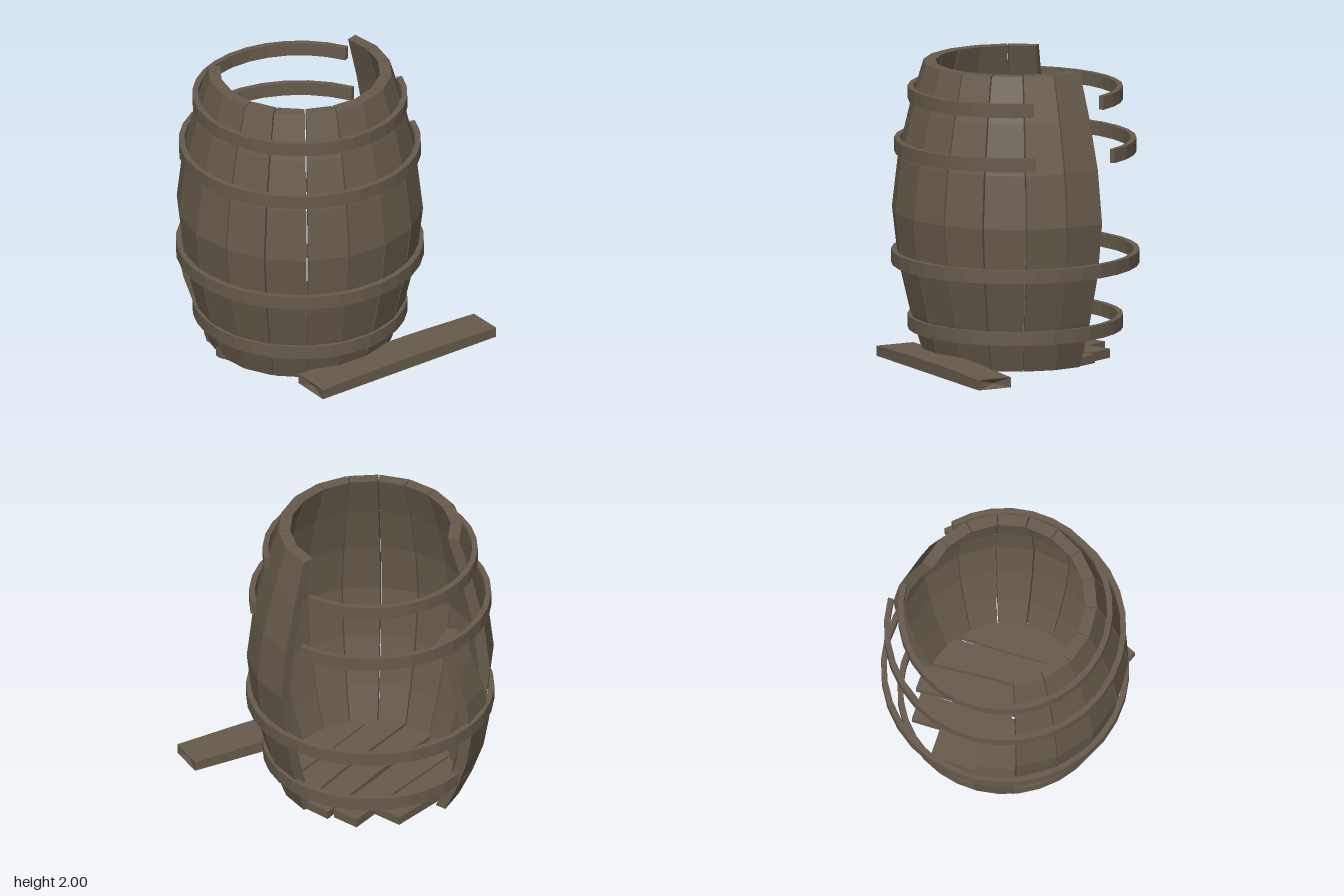
import * as THREE from 'three';

const CX = -0.185; // barrel axis
const RAD = Math.PI / 180;

const centre = pts => [0, 1, 2].map(k => pts.reduce((sum, p) => sum + p[k], 0) / pts.length);

// Faceted solid through matching convex cross-sections; ends are capped unless
// closed, and dent pushes the middle of each cap inwards
function loft(sections, { closed = false, dent = 0 } = {}) {
  const pos = [];
  const tri = (a, b, c) => pos.push(...a, ...b, ...c);
  const count = sections.length, n = sections[0].length;
  for (let s = 0; s < (closed ? count : count - 1); s++) {
    const A = sections[s], B = sections[(s + 1) % count];
    for (let j = 0; j < n; j++) {
      const k = (j + 1) % n;
      tri(A[j], A[k], B[k]);
      tri(A[j], B[k], B[j]);
    }
  }
  const cap = (ring, next, flip) => {
    const inner = centre(next);
    const mid = centre(ring).map((v, k) => v + (inner[k] - v) * dent);
    for (let j = 0; j < n; j++) {
      const p = ring[j], q = ring[(j + 1) % n];
      if (flip) tri(mid, q, p);
      else tri(mid, p, q);
    }
  };
  if (!closed) {
    cap(sections[0], sections[1], true);
    cap(sections[count - 1], sections[count - 2], false);
  }
  const g = new THREE.BufferGeometry();
  g.setAttribute('position', new THREE.Float32BufferAttribute(pos, 3));
  g.computeVertexNormals();
  return g;
}

// Point on the barrel, angle in degrees from +x towards +z
const polar = (r, deg, y) => [CX + r * Math.cos(deg * RAD), y, r * Math.sin(deg * RAD)];

// Stave between two angles; profile is a list of [outer radius, height]
function stave(a0, a1, profile) {
  const thick = 0.078;
  return loft(profile.map(([r, y]) => [
    polar(r, a1, y), polar(r, a0, y), polar(r - thick, a0, y), polar(r - thick, a1, y),
  ]));
}

// Rectangular band from angle a0 to a1
function hoop(r, y0, y1, a0, a1) {
  const closed = a1 - a0 === 360, steps = Math.round((a1 - a0) / 11.25), t = 0.037;
  const sections = [];
  for (let i = 0; i < (closed ? steps : steps + 1); i++) {
    const a = a0 + (a1 - a0) * i / steps;
    sections.push([polar(r - t, a, y0), polar(r, a, y0), polar(r, a, y1), polar(r - t, a, y1)]);
  }
  return loft(sections, { closed });
}

// Flat board from an outline [x, z], counterclockwise seen from above
const board = (outline, y0, y1) => loft([y0, y1].map(y => outline.map(([x, z]) => [x, y, z])));

export function createModel() {
  const group = new THREE.Group();
  const wood = new THREE.MeshStandardMaterial({ color: 0x665a4b });
  wood.name = 'weathered wood';
  const add = (name, geometry) => {
    const mesh = new THREE.Mesh(geometry, wood);
    mesh.name = name;
    group.add(mesh);
  };

  // Standing staves, leaving the back right side open
  const profile = [[0.603, 0.04], [0.693, 0.34], [0.77, 0.67], [0.81, 1.02], [0.77, 1.37], [0.693, 1.7], [0.603, 2]];
  for (let i = -4; i < 8; i++) add('stave', stave(i * 20 + 0.4, i * 20 + 19.6, profile));

  // Shorter stave beside the opening, bulging lower down and leaning in at the top
  add('shortStave', stave(160.4, 180, profile.map(([r, y]) => [r, (y - 0.04) * 0.66])));

  // Hoops: the upper two are broken open, the lower two are whole
  add('topHoop', hoop(0.704, 1.745, 1.835, -45, 270));
  add('upperHoop', hoop(0.793, 1.4, 1.49, -45, 270));
  add('middleHoop', hoop(0.813, 0.66, 0.75, 0, 360));
  add('bottomHoop', hoop(0.705, 0.23, 0.32, 0, 360));

  // Floor boards, some poking out under the staves
  const floor = [
    [[-0.68, -0.37], [-0.73, 0.02], [-0.75, 0.27], [-0.68, 0.37], [-0.54, 0.4], [-0.485, -0.36]],
    [[-0.47, -0.555], [-0.49, -0.1], [-0.54, 0.515], [-0.5, 0.535], [-0.335, 0.54], [-0.3, 0.1], [-0.28, -0.545]],
    [[-0.26, -0.585], [-0.265, 0.1], [-0.3, 0.54], [-0.1, 0.54], [-0.075, -0.1], [-0.08, -0.57]],
    [[-0.065, -0.54], [-0.06, -0.1], [-0.085, 0.53], [0.12, 0.45], [0.13, -0.1], [0.14, -0.43]],
    [[0.165, -0.4], [0.14, 0], [0.135, 0.38], [0.18, 0.4], [0.31, 0.24], [0.36, 0], [0.31, -0.24]],
  ];
  floor.forEach((outline, i) => add('floorBoard', board(outline, 0.038, 0.095 + 0.004 * (i % 2))));

  // Loose stave lying beside the barrel, slightly bowed, with hollowed ends
  const lerp = (p, q, t) => [p[0] + (q[0] - p[0]) * t, p[1] + (q[1] - p[1]) * t];
  add('looseStave', loft([0, 0.33, 0.67, 1].map(t => {
    const l = lerp([0.11, 0.61], [0.77, -0.635], t);
    const r = lerp([0.35, 0.735], [0.985, -0.53], t);
    const top = 0.105 + 0.014 * Math.sin(t * Math.PI);
    return [[r[0], 0.038, r[1]], [l[0], 0.038, l[1]], [l[0], top, l[1]], [r[0], top, r[1]]];
  }), { dent: 0.05 }));

  return group;
}
